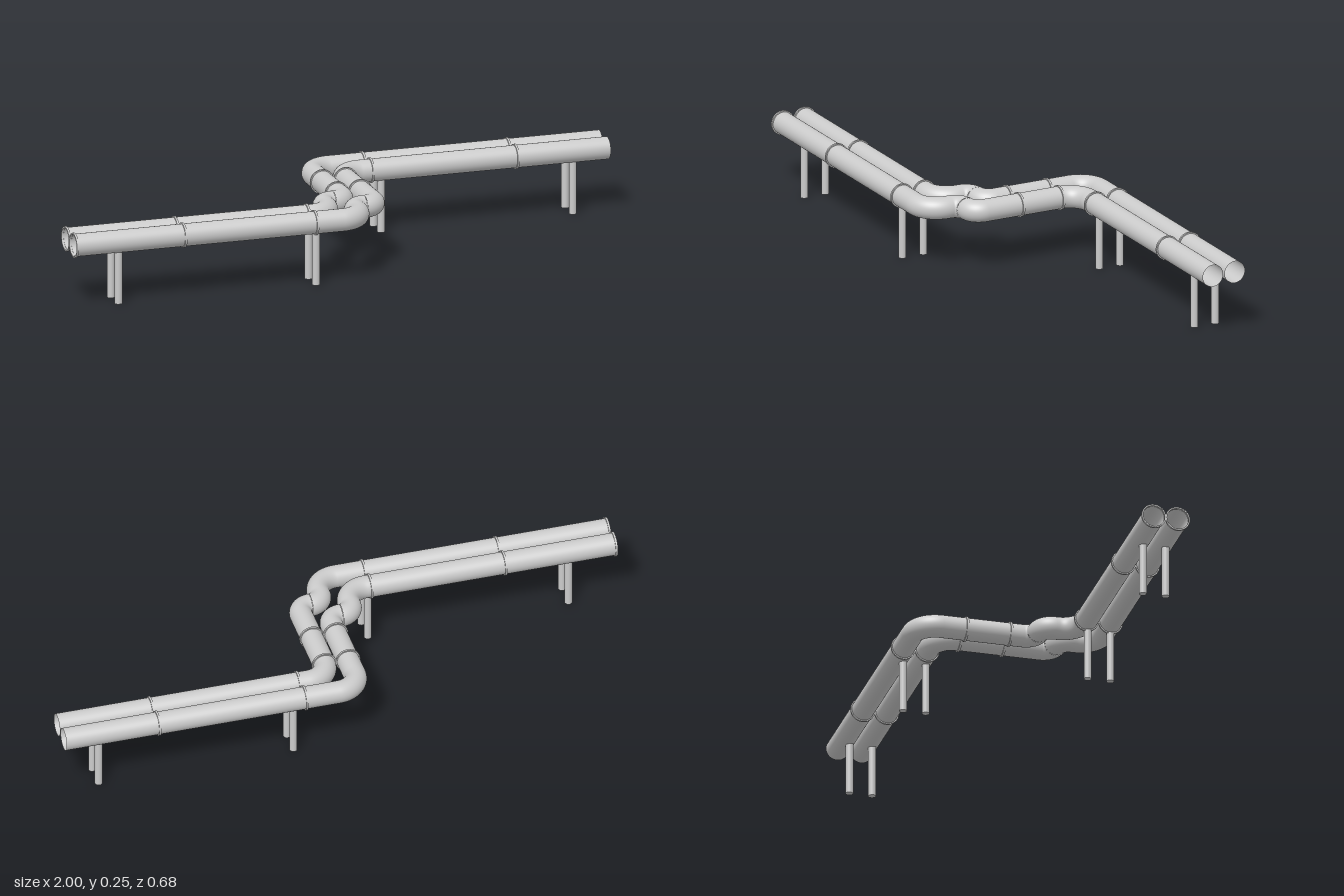
import * as THREE from 'three';

const Y = 0.209, R = 0.037, RING_R = 0.041;
const V = (x, z) => new THREE.Vector3(x, Y, z);

export function createModel() {
  const model = new THREE.Group();
  const mat = new THREE.MeshStandardMaterial({ color: 0xcccccc });
  const openMat = new THREE.MeshStandardMaterial({ color: 0xcccccc, side: THREE.DoubleSide });

  function add(parent, name, geo, material = mat) {
    const mesh = new THREE.Mesh(geo, material);
    mesh.name = name;
    parent.add(mesh);
    return mesh;
  }

  // Pipe run: straight tubes joined by quarter-circle elbows at each corner [x, z, bendRadius]
  function pipeRun(parent, corners) {
    const pts = corners.map(([x, z]) => V(x, z));
    let start = pts[0];
    for (let i = 1; i < pts.length; i++) {
      const p = pts[i], r = corners[i][2] || 0;
      const dirIn = p.clone().sub(pts[i - 1]).normalize();
      const end = p.clone().addScaledVector(dirIn, -r);
      if (end.distanceTo(start) > 0.003) {
        add(parent, 'straightPipe', new THREE.TubeGeometry(new THREE.LineCurve3(start, end), 1, R, 40), openMat);
      }
      if (!r) break;
      const dirOut = pts[i + 1].clone().sub(p).normalize();
      const next = p.clone().addScaledVector(dirOut, r);
      const k = 0.5523 * r;
      const arc = new THREE.CubicBezierCurve3(
        end, end.clone().addScaledVector(dirIn, k), next.clone().addScaledVector(dirOut, -k), next);
      add(parent, 'elbow', new THREE.TubeGeometry(arc, 16, R, 40), openMat);
      start = next;
    }
  }

  // Thin flange ring around a pipe, with its axis along x or z
  const half = 0.0035;
  const ringProfile = [[R - 0.001, -half], [RING_R, -half], [RING_R, -half], [RING_R, half],
    [RING_R, half], [R - 0.001, half]].map(([a, b]) => new THREE.Vector2(a, b));
  function ring(parent, x, z, alongX) {
    const mesh = add(parent, 'jointRing', new THREE.LatheGeometry(ringProfile, 40), openMat);
    if (alongX) mesh.rotation.z = Math.PI / 2;
    else mesh.rotation.x = Math.PI / 2;
    mesh.position.set(x, Y, z);
  }

  // Support post
  function post(parent, x, z) {
    add(parent, 'supportPost', new THREE.CylinderGeometry(0.0125, 0.0125, 0.178, 20)).position.set(x, 0.089, z);
  }

  // Two parallel pipelines, the second shifted diagonally from the first
  for (const [name, d] of [['innerPipeline', 0], ['outerPipeline', 0.08]]) {
    const line = new THREE.Group();
    line.name = name;
    model.add(line);
    const back = -0.298 + d, front = 0.217 + d, jog = 0.092 + d;

    pipeRun(line, [
      [1, back], [d, back, 0.075],
      [d, jog, 0.042], [d - 0.085, jog, 0.042],
      [d - 0.085, front, 0.075], [-1, front],
    ]);

    for (const x of [0.19, 0.685]) ring(line, x, back, true);
    for (const x of [-0.996, -0.625, -0.175]) ring(line, x, front, true);
    for (const z of [-0.142, 0.005]) ring(line, d, z, false);

    for (const x of [0.225, 0.88]) post(line, x, -0.289 + d * 0.95);
    for (const x of [-0.845, -0.17]) post(line, x, 0.222 + d * 0.95);
  }
  return model;
}
